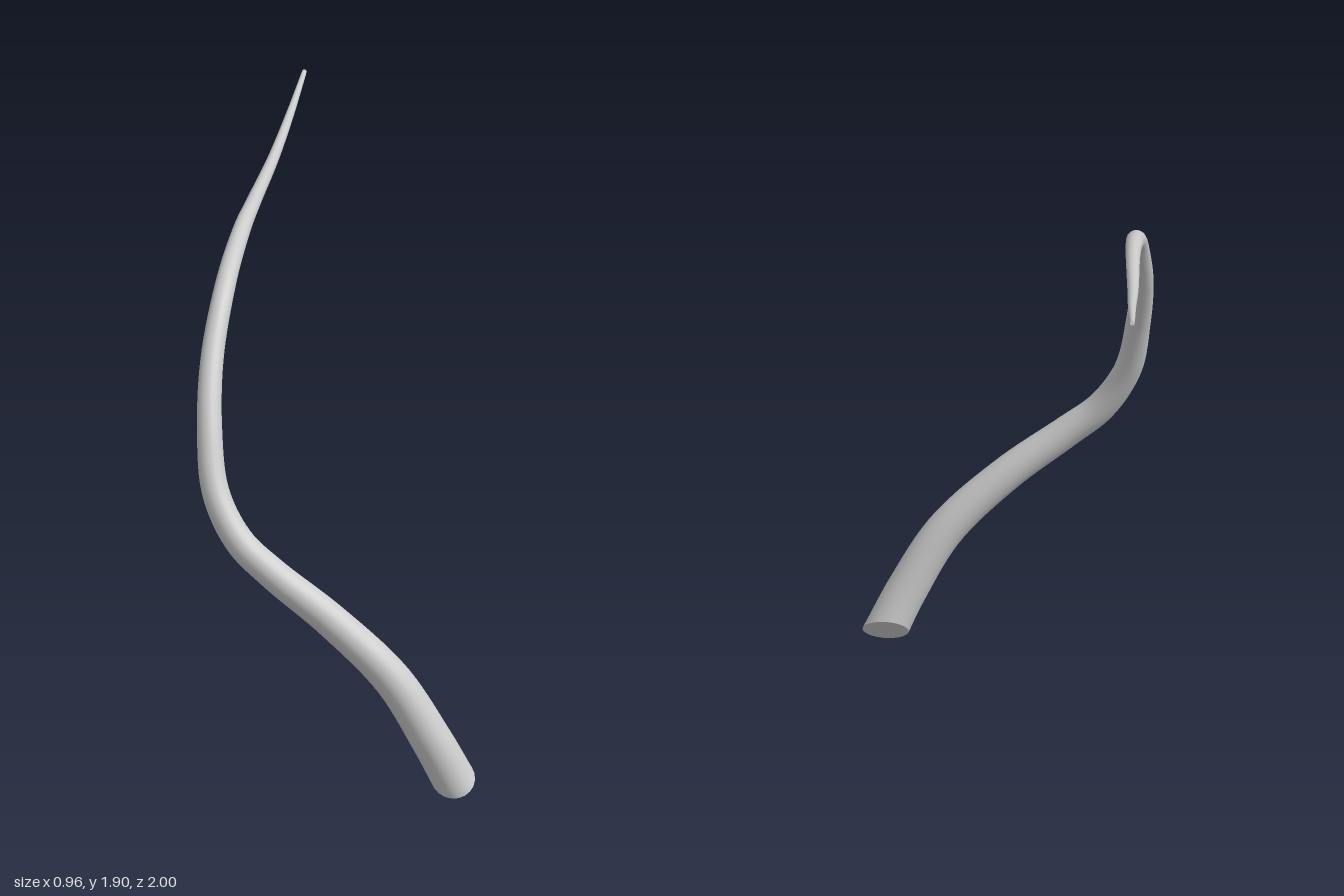
import * as THREE from 'three';

const SIDES = 20, STEPS = 100;

// Centre line from the thick base to the thin tip: x, y, z, radius
const PATH = [
  [0.405, 0.055, 0.905, 0.072],
  [0.335, 0.19, 0.922, 0.069],
  [0.205, 0.4, 0.936, 0.064],
  [0, 0.597, 0.938, 0.058],
  [-0.2, 0.75, 0.925, 0.053],
  [-0.315, 0.85, 0.898, 0.05],
  [-0.4, 1.0, 0.847, 0.046],
  [-0.432, 1.2, 0.763, 0.042],
  [-0.44, 1.4, 0.64, 0.039],
  [-0.42, 1.6, 0.46, 0.035],
  [-0.4, 1.713, 0.2, 0.03],
  [-0.387, 1.748, 0, 0.025],
  [-0.372, 1.78, -0.4, 0.019],
  [-0.358, 1.835, -0.7, 0.014],
  [-0.348, 1.895, -1, 0.008],
];

const curve = new THREE.CatmullRomCurve3(PATH.map(([x, y, z]) => new THREE.Vector3(x, y, z)));
const cutNormal = new THREE.Vector3(-0.16, 0.755, 0.64).normalize(); // slanted base cut

function radiusAt(t) {
  const f = t * (PATH.length - 1), i = Math.min(Math.floor(f), PATH.length - 2);
  return THREE.MathUtils.lerp(PATH[i][3], PATH[i + 1][3], f - i);
}

// One cross-section; near the base it leans into the slanted cut
function ring(t) {
  const centre = curve.getPoint(t), tangent = curve.getTangent(t);
  const u = new THREE.Vector3(1, 1, 1).cross(tangent).normalize();
  const v = tangent.clone().cross(u);
  const lean = Math.max(0, 1 - t * (PATH.length - 1) / 1.4);
  const r = radiusAt(t), points = [];
  for (let j = 0; j < SIDES; j++) {
    const a = (j / SIDES) * Math.PI * 2;
    const p = u.clone().multiplyScalar(r * Math.cos(a)).addScaledVector(v, r * Math.sin(a));
    p.addScaledVector(tangent, -lean * cutNormal.dot(p) / cutNormal.dot(tangent));
    points.push(p.add(centre));
  }
  return points;
}

function makeGeometry(points, index) {
  const g = new THREE.BufferGeometry().setFromPoints(points);
  g.setIndex(index);
  g.computeVertexNormals();
  return g;
}

function tubeGeometry() {
  const points = [], index = [];
  for (let i = 0; i <= STEPS; i++) points.push(...ring(i / STEPS));
  for (let i = 0; i < STEPS; i++) {
    for (let j = 0; j < SIDES; j++) {
      const k = (j + 1) % SIDES;
      const a = i * SIDES + j, b = i * SIDES + k, c = a + SIDES, d = b + SIDES;
      index.push(a, b, c, b, d, c);
    }
  }
  return makeGeometry(points, index);
}

// Flat end disc fanned from the ring's centre
function capGeometry(t, flip) {
  const points = [...ring(t), curve.getPoint(t)], index = [];
  for (let j = 0; j < SIDES; j++) {
    const k = (j + 1) % SIDES;
    index.push(SIDES, flip ? k : j, flip ? j : k);
  }
  return makeGeometry(points, index);
}

export function createModel() {
  const group = new THREE.Group();
  group.name = 'curvedTendril';
  const material = new THREE.MeshStandardMaterial({ color: 0xcccccc });
  const add = (name, geometry) => {
    const mesh = new THREE.Mesh(geometry, material);
    mesh.name = name;
    group.add(mesh);
  };
  add('stem', tubeGeometry());
  add('baseCap', capGeometry(0, true));
  add('tipCap', capGeometry(1, false));
  return group;
}
